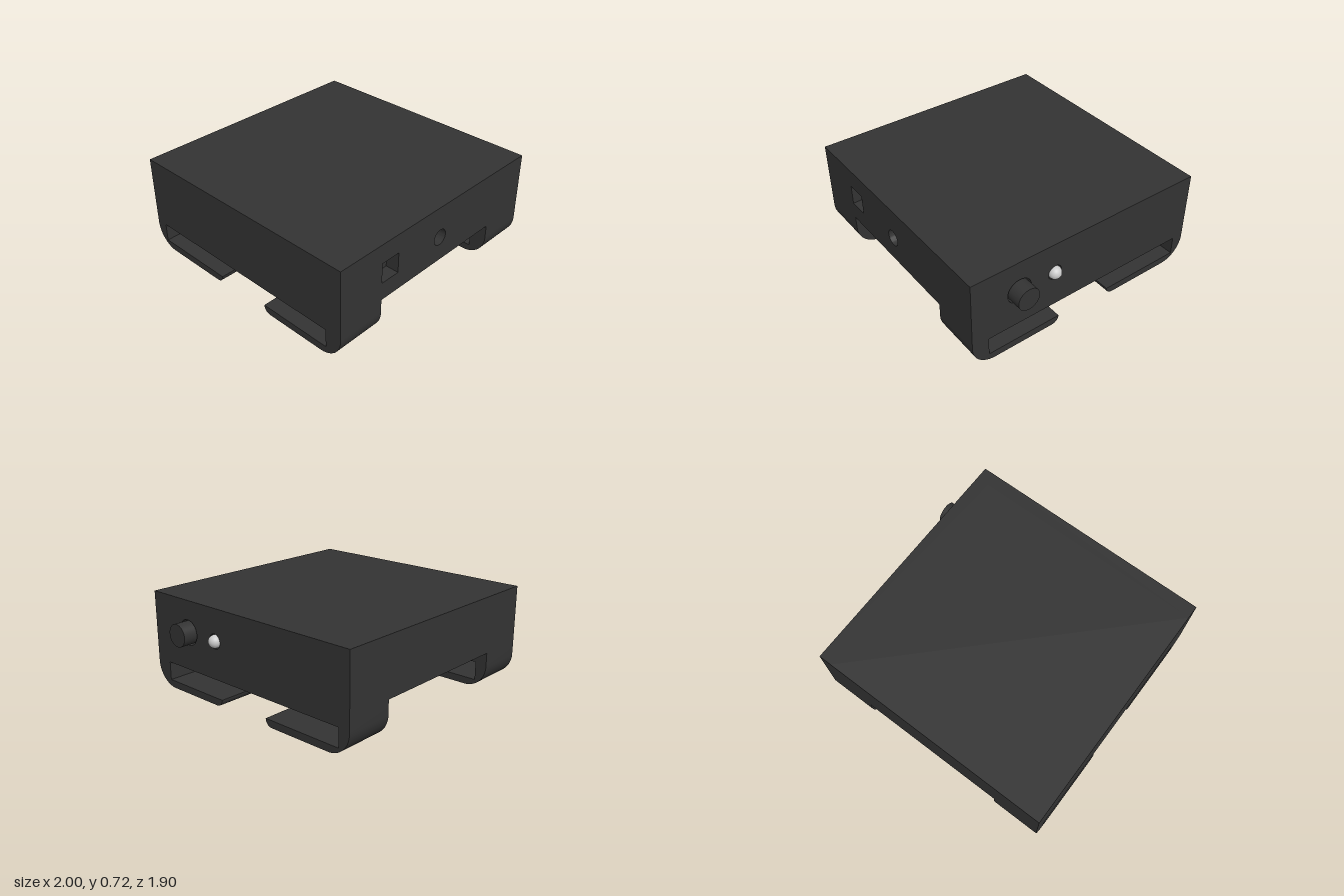
import * as THREE from 'three';
import { toCreasedNormals } from 'three/addons/utils/BufferGeometryUtils.js';

const dark = new THREE.MeshStandardMaterial({ color: 0x333333 });
const grey = new THREE.MeshStandardMaterial({ color: 0xcccccc });

// Main dimensions
const LEFT = 0.9, RIGHT = -1, TOP = 0.72, UNDER = 0.285, HALF = 0.95, DEPTH = 0.1;

export function createModel() {
  const group = new THREE.Group();

  function add(name, geometry, material, x = 0, y = 0, z = 0) {
    const mesh = new THREE.Mesh(geometry, material);
    mesh.name = name;
    mesh.position.set(x, y, z);
    group.add(mesh);
    return mesh;
  }

  function extrude(shape, depth) {
    const geometry = new THREE.ExtrudeGeometry(shape, { depth, bevelEnabled: false, curveSegments: 24 });
    return toCreasedNormals(geometry, 0.5);
  }

  // Shapes drawn as (-z, y) are turned to run along x
  const extrudeAlongX = (shape, depth) => extrude(shape, depth).rotateY(Math.PI / 2);

  function rect(x0, x1, y0, y1, Type = THREE.Shape) {
    const r = new Type();
    r.moveTo(x0, y0).lineTo(x1, y0).lineTo(x1, y1).lineTo(x0, y1).closePath();
    return r;
  }

  const circle = (x, y, r) => new THREE.Path().absarc(x, y, r, 0, Math.PI * 2, true);

  // Solid core of the housing
  const coreW = LEFT - DEPTH - RIGHT, coreD = 2 * HALF - DEPTH;
  add('housingCore', new THREE.BoxGeometry(coreW, TOP - UNDER, coreD), dark,
    RIGHT + coreW / 2, (TOP + UNDER) / 2, -DEPTH / 2);

  // Front wall with square and round sockets
  const front = rect(RIGHT, LEFT, UNDER, TOP);
  front.holes.push(rect(-0.625, -0.47, 0.42, 0.575, THREE.Path), circle(-0.04, 0.475, 0.06));
  add('frontWall', extrude(front, DEPTH), dark, 0, 0, HALF - DEPTH);

  // Side wall with recesses for the button and the lamp
  const side = rect(-(HALF - DEPTH), HALF, UNDER, TOP);
  side.holes.push(circle(-0.575, 0.48, 0.095), circle(-0.285, 0.48, 0.055));
  add('sideWall', extrudeAlongX(side, DEPTH), dark, LEFT - DEPTH);

  // Strap rails: a strip with two inward hooks and rounded outer corners
  const R = 0.18, T = 0.055, SLOT = 0.195;
  const rail = new THREE.Shape();
  rail.moveTo(-HALF, UNDER).lineTo(-HALF, R);
  rail.absarc(-HALF + R, R, R, Math.PI, Math.PI * 1.5, false);
  rail.lineTo(-0.235 - T, 0);
  rail.absarc(-0.235 - T, T, T, -Math.PI / 2, 0, false);
  rail.lineTo(-0.82, T).lineTo(-0.82, SLOT).lineTo(0.86, SLOT).lineTo(0.86, T).lineTo(0.21, T);
  rail.absarc(0.21 + T, T, T, Math.PI, Math.PI * 1.5, false);
  rail.lineTo(HALF - R, 0);
  rail.absarc(HALF - R, R, R, -Math.PI / 2, 0, false);
  rail.lineTo(HALF, UNDER);
  rail.closePath();
  const railGeometry = extrudeAlongX(rail, 0.375);
  add('rightStrapRail', railGeometry, dark, RIGHT);
  add('leftStrapRail', railGeometry, dark, LEFT - 0.375);

  // Push button and indicator lamp on the side
  add('button', new THREE.CylinderGeometry(0.085, 0.085, 0.2, 48).rotateZ(-Math.PI / 2), dark, 0.9, 0.48, 0.575);
  add('indicatorLamp', new THREE.SphereGeometry(0.048, 32, 24), grey, 0.898, 0.48, 0.285);

  return group;
}
